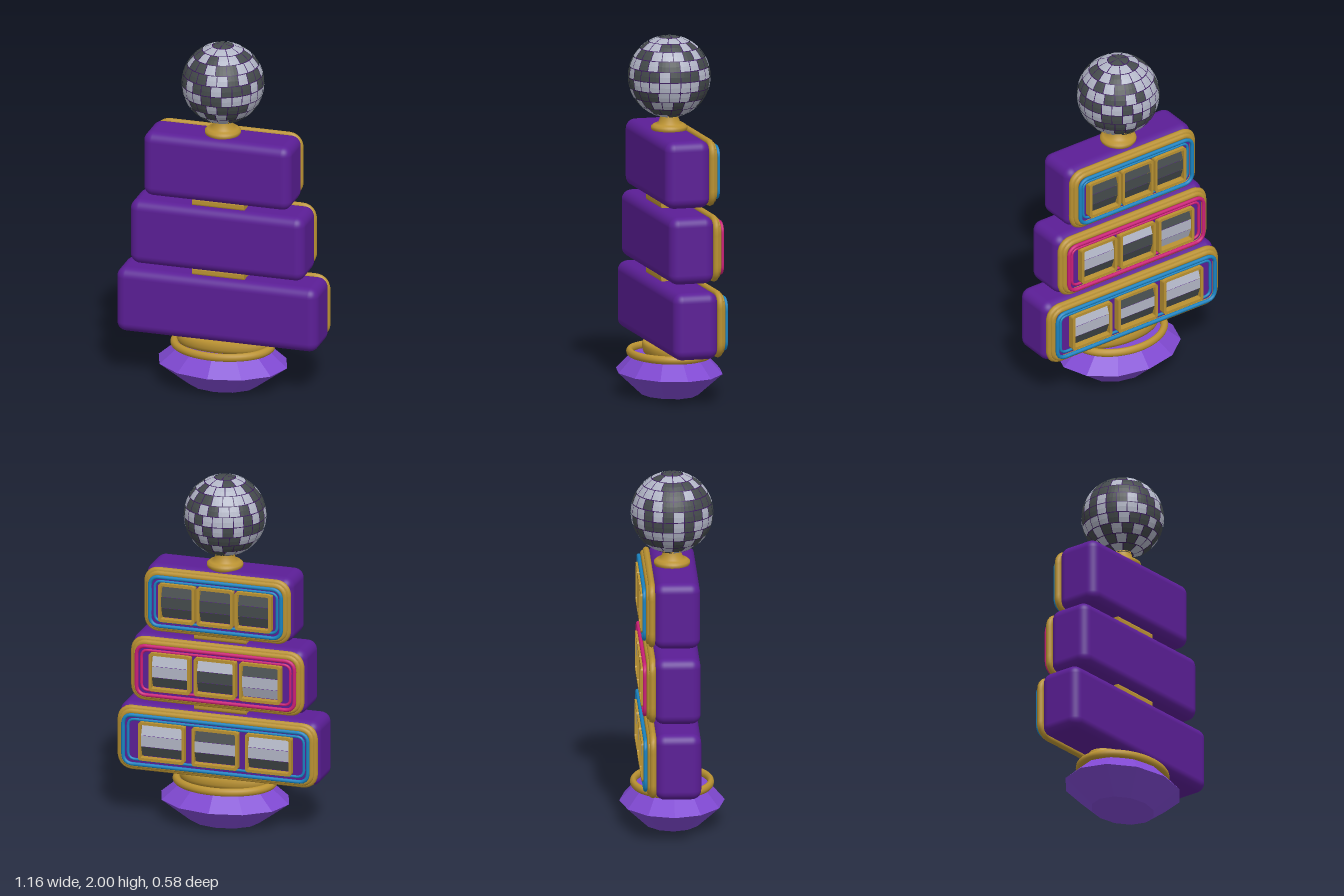
import * as THREE from 'three';
import { RoundedBoxGeometry } from 'three/addons/geometries/RoundedBoxGeometry.js';

const mat = (name, color, opts = {}) => {
  const m = new THREE.MeshStandardMaterial({ color, ...opts });
  m.name = name;
  return m;
};

function add(parent, name, geometry, material, x = 0, y = 0, z = 0) {
  const mesh = new THREE.Mesh(geometry, material);
  mesh.name = name;
  mesh.position.set(x, y, z);
  parent.add(mesh);
  return mesh;
}

// Rounded rectangle centred on the origin, given half sizes
function roundedRect(w, h, r, Type = THREE.Shape) {
  const s = new Type();
  s.moveTo(-w + r, -h);
  s.lineTo(w - r, -h);
  s.absarc(w - r, -h + r, r, -Math.PI / 2, 0, false);
  s.lineTo(w, h - r);
  s.absarc(w - r, h - r, r, 0, Math.PI / 2, false);
  s.lineTo(-w + r, h);
  s.absarc(-w + r, h - r, r, Math.PI / 2, Math.PI, false);
  s.lineTo(-w, -h + r);
  s.absarc(-w + r, -h + r, r, Math.PI, Math.PI * 1.5, false);
  return s;
}

// Tube running around a rounded rectangle
function rectTube(w, h, corner, radius) {
  const pts = roundedRect(w, h, corner).getSpacedPoints(90).slice(0, -1);
  const curve = new THREE.CatmullRomCurve3(pts.map(p => new THREE.Vector3(p.x, p.y, 0)), true);
  return new THREE.TubeGeometry(curve, 140, radius, 8, true);
}

function seeded(seed) {
  return () => {
    seed = (seed * 16807) % 2147483647;
    return seed / 2147483647;
  };
}

export function createModel() {
  const purple = mat('body purple', 0x5b1e96);
  const shade = mat('deep purple', 0x3c1a60);
  const violet = mat('gem violet', 0x8049d2, { flatShading: true });
  const gold = mat('gold', 0xba9232);
  const blue = mat('neon blue', 0x1a84c2);
  const pink = mat('neon pink', 0xcc1f78);
  const light = mat('light mirror', 0xb2b6c6, { flatShading: true });
  const dark = mat('dark mirror', 0x454b4c, { flatShading: true });

  const model = new THREE.Group();
  model.name = 'tieredTrophy';

  // Faceted oval gem base
  const gem = new THREE.Group();
  gem.name = 'gemBase';
  gem.scale.z = 0.785;
  model.add(gem);
  add(gem, 'gemLower', new THREE.CylinderGeometry(0.37, 0.2, 0.125, 12), violet, 0, 0.0625);
  add(gem, 'gemUpper', new THREE.CylinderGeometry(0.265, 0.37, 0.09, 12), violet, 0, 0.17);

  // Gold collar and plinth under the tiers
  const ring = add(model, 'baseRing', new THREE.TorusGeometry(0.272, 0.023, 12, 64), gold, 0, 0.23);
  ring.rotation.x = Math.PI / 2;
  ring.scale.y = 0.785;
  const plinthProfile = [[0, 0.22], [0.25, 0.22], [0.265, 0.24], [0.265, 0.265], [0.25, 0.285], [0, 0.285]];
  const plinth = add(model, 'plinth',
    new THREE.LatheGeometry(plinthProfile.map(p => new THREE.Vector2(...p)), 48), gold);
  plinth.scale.z = 0.51;

  // Gold spacers between the tiers
  for (const y of [0.672, 1.082]) {
    const g = new THREE.ExtrudeGeometry(roundedRect(0.09, 0.027, 0.02),
      { depth: 0.3, bevelEnabled: false, curveSegments: 6 });
    const spacer = add(model, 'spacer', g, gold, -0.15, y, 0);
    spacer.rotation.y = Math.PI / 2;
  }

  // Three tiers; reel bands run top to bottom, L light and D dark
  const tiers = [
    { w: 0.58, y: 0.467, neon: blue, step: 0.31, win: 0.134, reels: ['LLD', 'DLD', 'LLD'] },
    { w: 0.502, y: 0.877, neon: pink, step: 0.262, win: 0.12, reels: ['LLD', 'LDD', 'DLL'] },
    { w: 0.425, y: 1.287, neon: blue, step: 0.222, win: 0.105, reels: ['DDD', 'DDD', 'DDD'] },
  ];
  for (const t of tiers) {
    const tier = new THREE.Group();
    tier.name = 'tier';
    tier.position.y = t.y;
    model.add(tier);
    add(tier, 'tierBody', new RoundedBoxGeometry(t.w * 2, 0.375, 0.256, 5, 0.055), purple, 0, 0, 0.01);

    // Display side faces the back
    const face = new THREE.Group();
    face.name = 'display';
    face.rotation.y = Math.PI;
    tier.add(face);
    const trim = (name, inset, radius, z, m) =>
      add(face, name, rectTube(t.w - inset, 0.187 - inset, Math.max(0.025, 0.075 - inset * 0.6), radius), m, 0, 0, z);
    trim('outerGoldTrim', 0.019, 0.019, 0.128, gold);
    trim('innerGoldTrim', 0.032, 0.017, 0.143, gold);
    trim('outerNeon', 0.045, 0.011, 0.169, t.neon);
    trim('innerNeon', 0.071, 0.008, 0.16, t.neon);
    add(face, 'displayPanel', new THREE.BoxGeometry(t.w * 2 - 0.08, 0.29, 0.035), purple, 0, 0, 0.131);

    t.reels.forEach((bands, i) => {
      const x = (i - 1) * t.step;
      // Thin window frame
      const shape = roundedRect(t.win, 0.112, 0.018);
      shape.holes.push(roundedRect(t.win - 0.016, 0.096, 0.008, THREE.Path));
      add(face, 'windowFrame', new THREE.ExtrudeGeometry(shape,
        { depth: 0.04, bevelEnabled: false, curveSegments: 5 }), gold, x, 0, 0.147);
      // Shallow faceted reel just behind the frame
      [...bands].forEach((c, k) => {
        const a = (k - 1) * 0.36, r = 0.176;
        const band = add(face, 'reelBand', new THREE.PlaneGeometry(t.win * 2 - 0.03, 0.0625),
          c === 'L' ? light : dark, x, -Math.sin(a) * r, 0.178 - r + Math.cos(a) * r);
        band.rotation.x = a;
      });
    });
  }

  // Gold neck
  const neckProfile = [[0, 1.465], [0.09, 1.465], [0.1, 1.48], [0.1, 1.495], [0.085, 1.507],
    [0.063, 1.51], [0.05, 1.545], [0.05, 1.57], [0, 1.57]];
  add(model, 'neck', new THREE.LatheGeometry(neckProfile.map(p => new THREE.Vector2(...p)), 40), gold);

  // Mirror ball with flat tiles in rows of about equal width
  const ball = new THREE.Group();
  ball.name = 'mirrorBall';
  ball.position.y = 1.772;
  model.add(ball);
  add(ball, 'ballCore', new THREE.SphereGeometry(0.2195, 48, 32), shade);
  const rand = seeded(4711);
  const rows = 12, dTheta = Math.PI / rows, gap = 0.01;
  for (let row = 0; row < rows; row++) {
    const theta = row * dTheta;
    const s = Math.sin(theta + dTheta / 2);
    const count = Math.max(4, Math.round(24 * s));
    const dPhi = Math.PI * 2 / count;
    const side = Math.min(gap / s, dPhi * 0.08);
    const lightShare = row === 0 || row === rows - 1 ? 0 : row === 1 ? 0.9 : 0.48;
    for (let i = 0; i < count; i++) {
      const g = new THREE.SphereGeometry(0.228, 1, 1, i * dPhi + side, dPhi - side * 2,
        theta + gap, dTheta - gap * 2);
      add(ball, 'mirrorTile', g, rand() < lightShare ? light : dark);
    }
  }
  return model;
}
